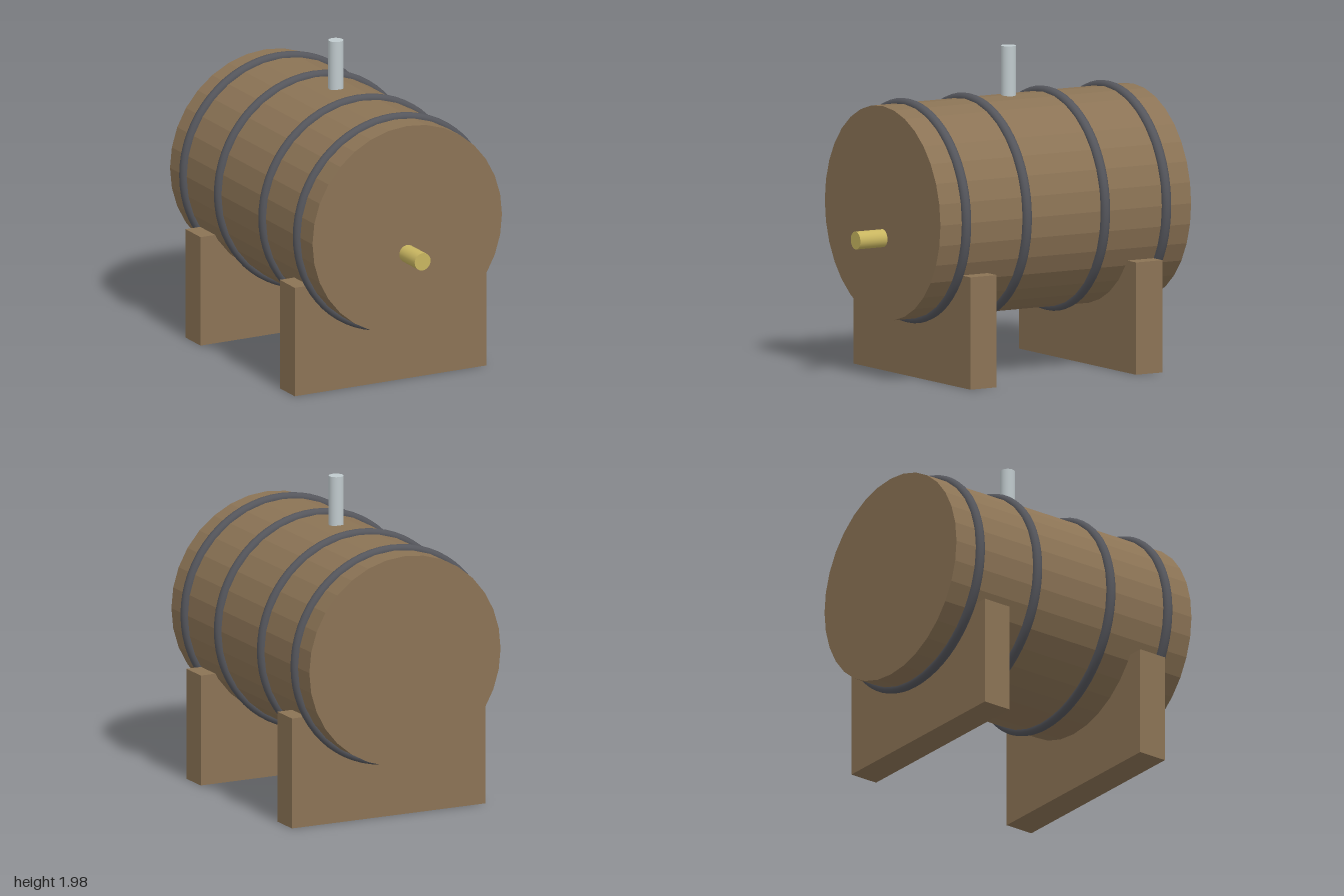
import * as THREE from 'three';

const material = (color, flatShading = false) => new THREE.MeshStandardMaterial({ color, flatShading });

export function createModel() {
  const model = new THREE.Group();
  const wood = material(0x8b7355, true);
  const iron = material(0x55565c);
  const steel = material(0xc0cacd);
  const brass = material(0xc8b560);

  const add = (name, geometry, mat, x, y, z) => {
    const mesh = new THREE.Mesh(geometry, mat);
    mesh.name = name;
    mesh.position.set(x, y, z);
    model.add(mesh);
    return mesh;
  };

  const radius = 0.657;
  const axisY = 1.022;

  // Barrel lying along z
  add('barrel', new THREE.CylinderGeometry(radius, radius, 1.805, 32).rotateX(Math.PI / 2), wood, 0, axisY, -0.0975);

  // Hoops around the barrel
  const hoop = new THREE.TorusGeometry(radius, 0.031, 12, 64);
  [0.62, 0.183, -0.38, -0.82].forEach((z, i) => add(`hoop${i + 1}`, hoop, iron, 0, axisY, z));

  // Stand blocks the barrel is sunk into
  const stand = new THREE.BoxGeometry(1.33, 0.69, 0.19);
  add('frontStand', stand, wood, 0, 0.345, 0.5);
  add('backStand', stand, wood, 0, 0.345, -0.693);

  // Tap on the front end, reaching slightly into the barrel
  add('tap', new THREE.CylinderGeometry(0.055, 0.055, 0.22, 24).rotateX(Math.PI / 2), brass, 0, 0.867, 0.89);

  // Vent pipe on top
  add('ventPipe', new THREE.CylinderGeometry(0.046, 0.046, 0.34, 24), steel, 0, 1.812, -0.1);

  return model;
}
